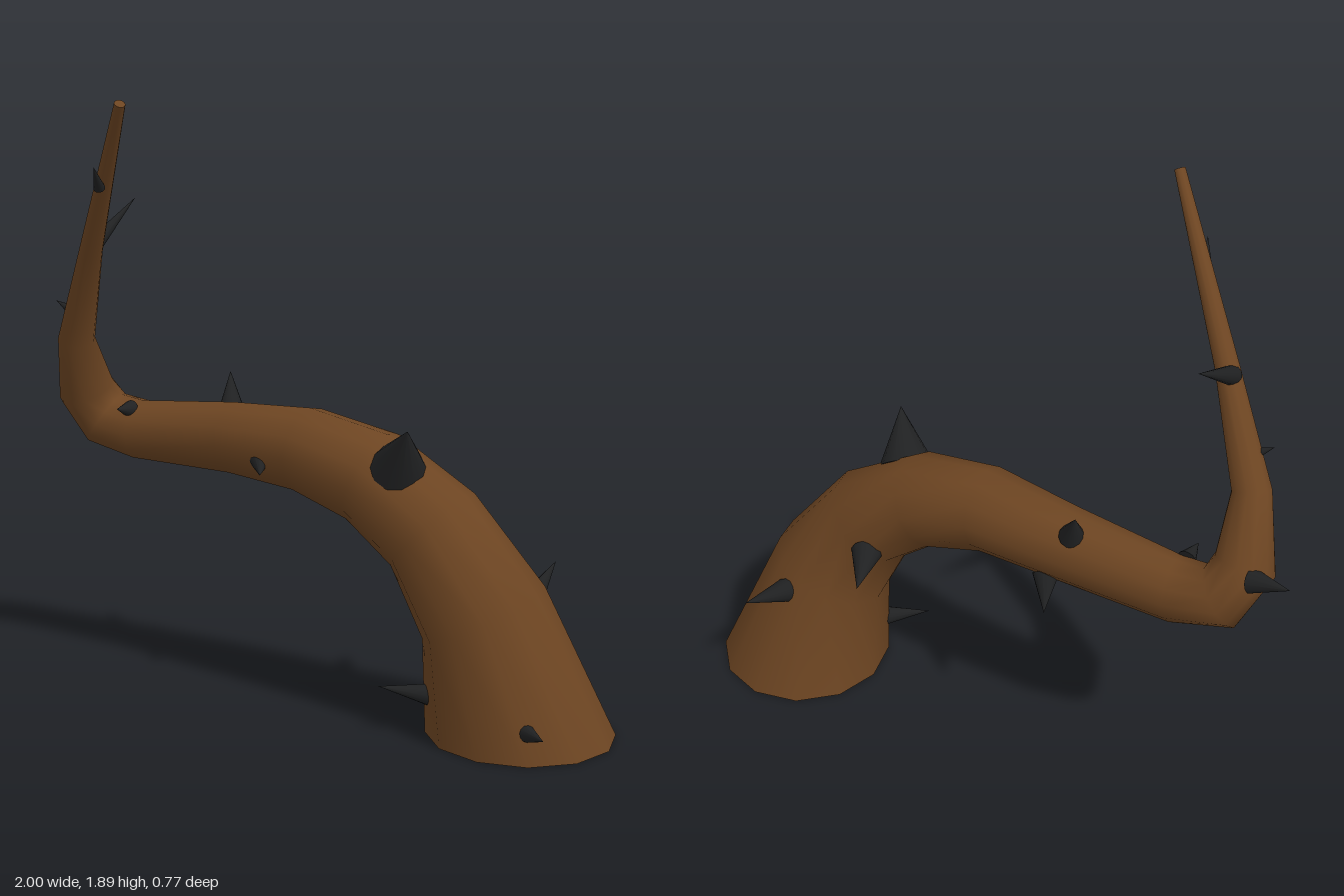
import * as THREE from 'three';

const bark = new THREE.MeshStandardMaterial({ color: 0x6d4522, side: THREE.DoubleSide });
bark.name = 'brown bark';
const black = new THREE.MeshStandardMaterial({ color: 0x202122 });
black.name = 'black thorn';

// Stem rings: centre x, y, z and radius, from the root to the tip
const RINGS = [
  [0.712, 0, -0.045, 0.288], [0.607, 0.38, 0.01, 0.2], [0.445, 0.62, 0.015, 0.167],
  [0.24, 0.76, -0.01, 0.152], [0.005, 0.82, -0.05, 0.135], [-0.27, 0.825, -0.115, 0.117],
  [-0.65, 0.815, -0.175, 0.1], [-0.79, 0.845, -0.185, 0.1], [-0.84, 0.945, -0.14, 0.094],
  [-0.81, 1.13, -0.035, 0.06], [-0.67, 1.43, 0.098, 0.037], [-0.407, 1.878, 0.363, 0.017],
];

// Thorns: base centre, tip, base radius
const THORNS = [
  [[-0.88, 0.95, -0.21], [-1, 0.98, -0.245], 0.038],
  [[-0.66, 0.89, -0.12], [-0.67, 0.9, -0.045], 0.03],
  [[-0.32, 0.91, -0.18], [-0.35, 1.02, -0.235], 0.04],
  [[-0.24, 0.74, -0.18], [-0.27, 0.66, -0.265], 0.042],
  [[-0.13, 0.79, 0.01], [-0.09, 0.755, 0.095], 0.035],
  [[0.355, 0.81, 0.075], [0.425, 0.945, 0.185], 0.087],
  [[0.4, 0.585, -0.14], [0.355, 0.565, -0.295], 0.05],
  [[0.69, 0.365, -0.19], [0.715, 0.455, -0.39], 0.04],
  [[0.465, 0.125, 0.075], [0.32, 0.15, 0.135], 0.034],
  [[0.8, 0.09, 0.19], [0.88, 0.11, 0.29], 0.027],
  [[-0.69, 1.42, 0.08], [-0.67, 1.58, -0.19], 0.03],
  [[-0.79, 1.22, 0.01], [-0.85, 1.255, 0.02], 0.02],
  [[-0.535, 1.63, 0.27], [-0.51, 1.695, 0.345], 0.018],
];

const SIDES = 12;

// Tapered tube through the rings, open at the root and closed at the tip
function stemGeometry() {
  const centres = RINGS.map(([x, y, z]) => new THREE.Vector3(x, y, z));
  const last = centres.length - 1;
  const step = (i) => centres[i + 1].clone().sub(centres[i]).normalize();
  const u = new THREE.Vector3(Math.cos(0.15), 0, Math.sin(0.15));
  const positions = [], index = [];

  centres.forEach((c, i) => {
    let t;
    if (i === 0) t = new THREE.Vector3(0, 1, 0);
    else if (i === last) t = step(i - 1);
    else t = step(i - 1).add(step(i)).normalize();
    u.addScaledVector(t, -u.dot(t)).normalize();
    const v = new THREE.Vector3().crossVectors(t, u);
    for (let k = 0; k < SIDES; k++) {
      const a = (k / SIDES) * Math.PI * 2;
      const p = c.clone()
        .addScaledVector(u, Math.cos(a) * RINGS[i][3])
        .addScaledVector(v, Math.sin(a) * RINGS[i][3]);
      positions.push(p.x, p.y, p.z);
      if (i < last) {
        const m = (k + 1) % SIDES, r = i * SIDES;
        index.push(r + k, r + m, r + SIDES + k, r + m, r + SIDES + m, r + SIDES + k);
      }
    }
  });

  // separate vertices keep the tip cap flat
  const cap = positions.length / 3;
  positions.push(...positions.slice(-SIDES * 3));
  for (let k = 1; k < SIDES - 1; k++) index.push(cap, cap + k, cap + k + 1);

  const geometry = new THREE.BufferGeometry();
  geometry.setAttribute('position', new THREE.Float32BufferAttribute(positions, 3));
  geometry.setIndex(index);
  geometry.computeVertexNormals();
  return geometry;
}

function makeThorn([base, tip, radius]) {
  const from = new THREE.Vector3(...base);
  const axis = new THREE.Vector3(...tip).sub(from);
  const length = axis.length();
  const geometry = new THREE.ConeGeometry(radius, length, 12);
  geometry.translate(0, length / 2, 0);
  const thorn = new THREE.Mesh(geometry, black);
  thorn.name = 'thorn';
  thorn.position.copy(from);
  thorn.quaternion.setFromUnitVectors(new THREE.Vector3(0, 1, 0), axis.normalize());
  return thorn;
}

export function createModel() {
  const model = new THREE.Group();
  model.name = 'thornyVine';

  const stem = new THREE.Mesh(stemGeometry(), bark);
  stem.name = 'stem';
  model.add(stem);

  const thorns = new THREE.Group();
  thorns.name = 'thorns';
  THORNS.forEach((t) => thorns.add(makeThorn(t)));
  model.add(thorns);
  return model;
}
